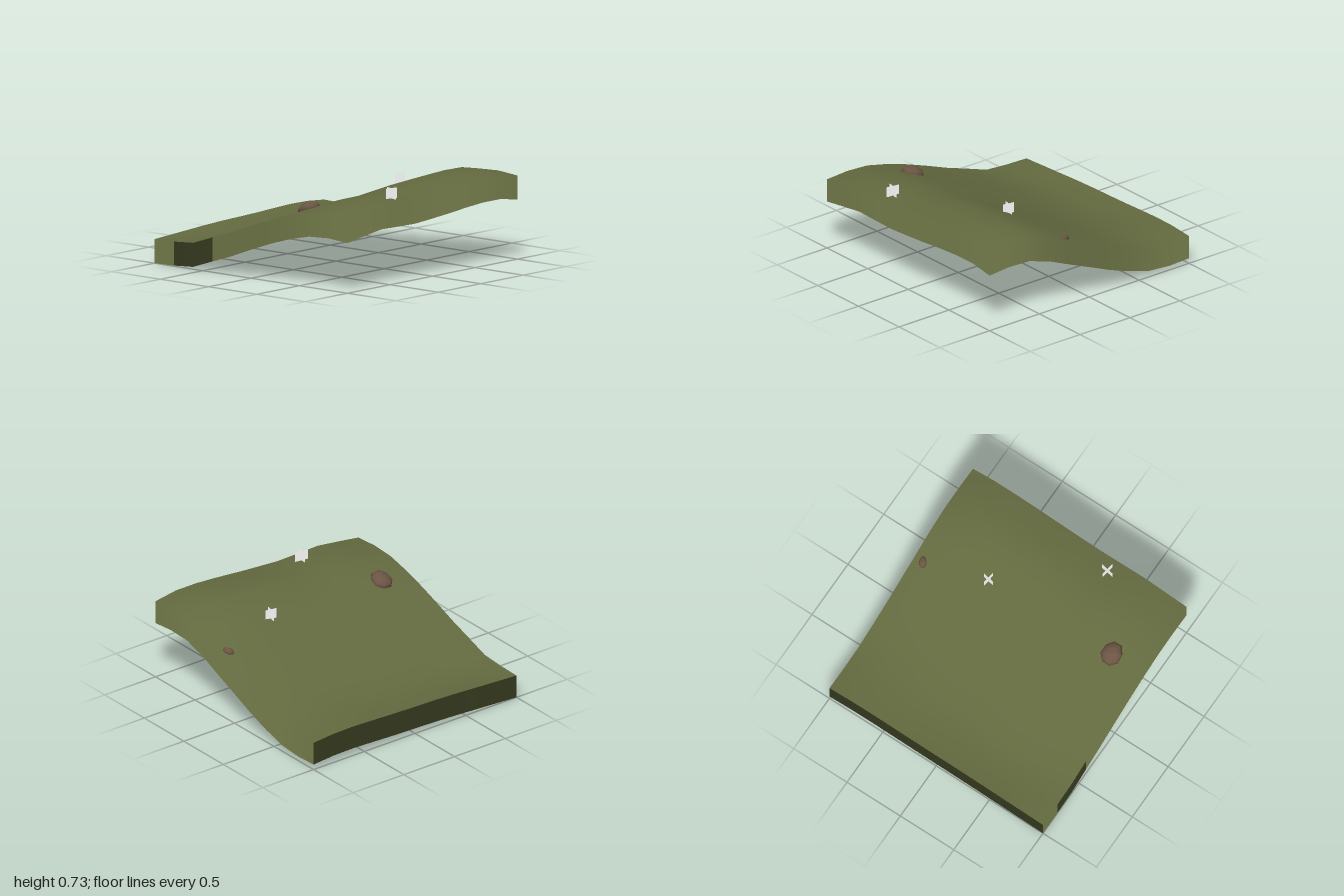
import * as THREE from 'three';

const grass = new THREE.MeshStandardMaterial({ name: 'olive ground', color: 0x636a3f, side: THREE.DoubleSide });
const stone = new THREE.MeshStandardMaterial({ name: 'brown stone', color: 0x6b5544 });
const pale = new THREE.MeshStandardMaterial({ name: 'pale grey', color: 0xdedee0 });

const N = 10;
const DEPTH = 0.19;

// Hill profiles along z (from z = 1 to z = -1): the low left edge and the high ridge
const lowEdge = [0.587, 0.6, 0.59, 0.545, 0.485, 0.415, 0.34, 0.275, 0.208, 0.195, 0.19];
const ridge = [0.695, 0.715, 0.71, 0.645, 0.55, 0.465, 0.38, 0.31, 0.265, 0.25, 0.253];

// Blends between the two profiles along x (from x = -1 to x = 1), at four stations in z
const stations = [
  { z: 1, blend: [0, 0.26, 0.5, 0.45, 0.42, 0.54, 0.68, 0.85, 0.97, 0.97, 0.68] },
  { z: 0.6, blend: [0, 0.22, 0.44, 0.45, 0.46, 0.65, 0.84, 0.93, 1, 0.97, 0.66] },
  { z: -0.8, blend: [0, -0.09, -0.18, 0.05, 0.27, 0.39, 0.5, 0.75, 0.95, 0.95, 0.55] },
  { z: -1, blend: [0, 0.17, 0.33, 0.5, 0.62, 0.69, 0.77, 0.89, 1, 0.95, 0.69] },
];

// Linear lookup in a list spread evenly over 0..1
function sample(list, t) {
  const f = THREE.MathUtils.clamp(t, 0, 1) * N;
  const i = Math.min(N - 1, Math.floor(f));
  return THREE.MathUtils.lerp(list[i], list[i + 1], f - i);
}

function height(x, z) {
  const u = (x + 1) / 2;
  const t = (1 - z) / 2;
  const k = z > 0.6 ? 0 : z > -0.8 ? 1 : 2;
  const a = stations[k], b = stations[k + 1];
  const w = THREE.MathUtils.clamp((a.z - z) / (a.z - b.z), 0, 1);
  const mix = THREE.MathUtils.lerp(sample(a.blend, u), sample(b.blend, u), w);
  return THREE.MathUtils.lerp(sample(lowEdge, t), sample(ridge, t), mix);
}

// Upward normal of the hill, taken from its slope
function hillNormal(x, z) {
  const e = 0.1;
  const x0 = Math.max(-1, x - e), x1 = Math.min(1, x + e);
  const z0 = Math.max(-1, z - e), z1 = Math.min(1, z + e);
  const sx = (height(x1, z) - height(x0, z)) / (x1 - x0);
  const sz = (height(x, z1) - height(x, z0)) / (z1 - z0);
  return new THREE.Vector3(-sx, 1, -sz).normalize();
}

// Lays a flat sheet on the hill; points below zero hang down as the wall
function drape(geometry) {
  const p = geometry.attributes.position;
  for (let i = 0; i < p.count; i++) {
    const x = p.getX(i), z = p.getZ(i);
    const n = hillNormal(x, z);
    p.setY(i, height(x, z) - (p.getY(i) < -0.1 ? DEPTH : 0));
    geometry.attributes.normal.setXYZ(i, n.x, n.y, n.z);
  }
  return new THREE.Mesh(geometry, grass);
}

// Rolling top surface
function makeGround() {
  return drape(new THREE.PlaneGeometry(2, 2, N, N).rotateX(-Math.PI / 2));
}

// Hanging wall along one edge, open underneath, shaded as one with the ground
function makeSkirt(angle) {
  return drape(new THREE.PlaneGeometry(2, 1, N, 1).translate(0, 0, 1).rotateY(angle));
}

// Flattened, uneven stone half sunk in the ground and leaning with the slope
function makeRock(x, z, rx, ry, rz, turn) {
  const g = new THREE.SphereGeometry(1, 8, 6).rotateY(Math.PI / 8);
  const p = g.attributes.position;
  for (let i = 0; i < p.count; i++) {
    const a = Math.atan2(p.getZ(i), p.getX(i));
    const k = 1.04 + 0.04 * Math.cos(3 * a + 1);
    p.setXYZ(i, p.getX(i) * k * rx, p.getY(i) * ry, p.getZ(i) * k * rz);
  }
  g.computeVertexNormals();
  const rock = new THREE.Mesh(g, stone);
  rock.position.set(x, height(x, z) + 0.003, z);
  rock.rotation.set(-0.35, turn, 0);
  return rock;
}

// Two crossed upright cards, each with a face on both sides, shaded from above
function makeTuft(x, z, width, turn) {
  const tuft = new THREE.Group();
  for (let i = 0; i < 4; i++) {
    const g = new THREE.PlaneGeometry(width, 0.085);
    for (let j = 0; j < 4; j++) g.attributes.normal.setXYZ(j, 0, 1, 0);
    const card = new THREE.Mesh(g, pale);
    card.name = 'tuftCard';
    card.position.y = 0.04;
    card.rotation.y = i * Math.PI / 2;
    tuft.add(card);
  }
  tuft.position.set(x, height(x, z), z);
  tuft.rotation.y = turn;
  return tuft;
}

export function createModel() {
  const model = new THREE.Group();
  model.name = 'hillTile';
  const add = (name, part) => { part.name = name; model.add(part); };

  add('ground', makeGround());
  ['frontSkirt', 'leftSkirt', 'backSkirt', 'rightSkirt'].forEach((name, i) => add(name, makeSkirt(i * Math.PI / 2)));
  add('largeRock', makeRock(-0.728, 0.363, 0.083, 0.052, 0.095, 0));
  add('smallRock', makeRock(0.918, 0.18, 0.031, 0.026, 0.045, 0.5));
  add('ridgeTuft', makeTuft(-0.342, 0.875, 0.112, -0.17));
  add('slopeTuft', makeTuft(0.395, 0.315, 0.098, -0.17));
  return model;
}
